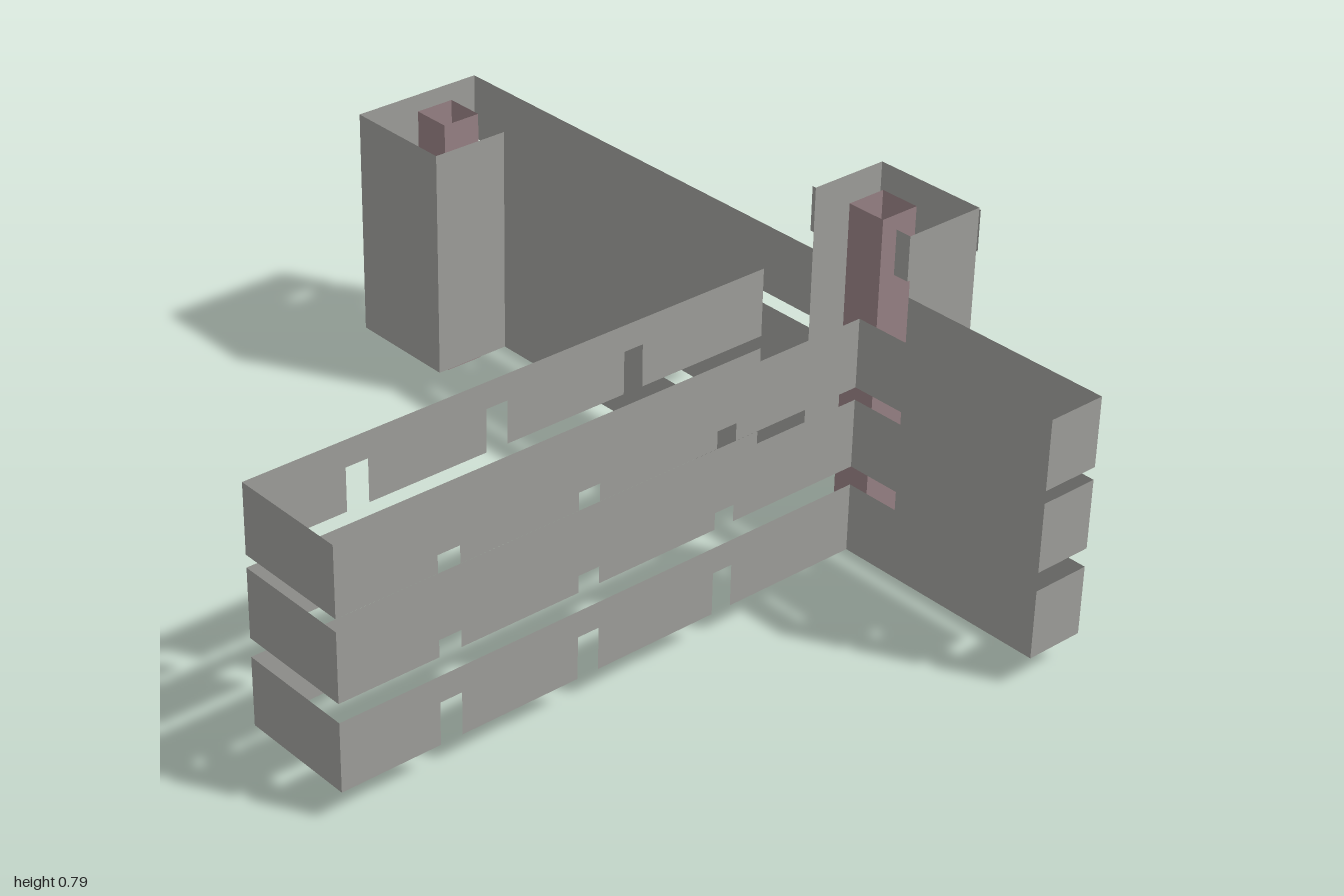
import * as THREE from 'three';

export function createModel() {
  const model = new THREE.Group();
  const grey = new THREE.MeshStandardMaterial({ color: 0x9f9f9b, side: THREE.DoubleSide });
  grey.name = 'weathered grey';
  const rose = new THREE.MeshStandardMaterial({ color: 0x988285, side: THREE.DoubleSide });
  rose.name = 'dusty rose';

  const add = (parent, name, geometry, material) => {
    const mesh = new THREE.Mesh(geometry, material);
    mesh.name = name;
    parent.add(mesh);
    return mesh;
  };

  // Upright sheet standing on the plan line from a to b, each [x, z]
  const sheet = (parent, name, a, b, y0, y1, material = grey) => {
    const dx = b[0] - a[0], dz = b[1] - a[1];
    const g = new THREE.PlaneGeometry(Math.hypot(dx, dz), y1 - y0);
    g.rotateY(Math.atan2(-dz, dx));
    g.translate((a[0] + b[0]) / 2, (y0 + y1) / 2, (a[1] + b[1]) / 2);
    return add(parent, name, g, material);
  };

  // Chain of upright sheets along a plan path
  const run = (parent, name, path, y0, y1, material) => {
    for (let i = 1; i < path.length; i++) sheet(parent, name, path[i - 1], path[i], y0, y1, material);
  };

  const left = -0.865, inner = 0.5, outer = 0.645;
  const back = 0.17, front = 0.46;
  const notches = [[-0.62, -0.565], [-0.265, -0.21], [0.105, 0.157]];

  // Long rail face with square notches cut up from its lower edge
  const notchedSheet = (parent, name, z, y0, y1) => {
    const s = new THREE.Shape();
    s.moveTo(left, y0);
    for (const [a, b] of notches) {
      s.lineTo(a, y0);
      s.lineTo(a, y0 + 0.102);
      s.lineTo(b, y0 + 0.102);
      s.lineTo(b, y0);
    }
    s.lineTo(inner, y0);
    s.lineTo(inner, y1);
    s.lineTo(left, y1);
    add(parent, name, new THREE.ShapeGeometry(s).translate(0, 0, z), grey);
  };

  // Three courses of hollow rails, open where the wings and posts meet
  [0.07, 0.28, 0.475].forEach((y0, i) => {
    const y1 = y0 + 0.165;
    const course = new THREE.Group();
    course.name = 'railCourse' + (i + 1);
    model.add(course);

    notchedSheet(course, 'sideWingFront', front, y0, y1);
    notchedSheet(course, 'sideWingBack', back, y0, y1);
    sheet(course, 'sideWingEnd', [left, back], [left, front], y0, y1);

    run(course, 'frontRail', [[inner, front], [inner, 1], [outer, 1], [outer, front]], y0, y1);
    sheet(course, 'rearRailInner', [inner, back], [inner, -0.71], y0, y1);
    sheet(course, 'rearRailEnd', [inner, -1], [outer, -1], y0, y1);
    if (i === 0) {
      // Open stub branching off the lowest course
      run(course, 'rearRailOuter', [[outer, back], [outer, -0.2]], y0, y1);
      run(course, 'rearRailOuter', [[outer, -0.375], [outer, -1]], y0, y1);
      for (const z of [-0.2, -0.375]) sheet(course, 'stubSide', [outer, z], [0.865, z], y0, y1);
    } else {
      sheet(course, 'rearRailOuter', [outer, back], [outer, -1], y0, y1);
    }
  });

  // Tall corner post, open toward the rails
  const post = new THREE.Group();
  post.name = 'tallPost';
  model.add(post);
  run(post, 'tallPostWall', [[outer, front], [0.845, front], [0.845, back], [outer, back]], 0.07, 0.787);
  // Small lips around the post top
  sheet(post, 'postLip', [0.638, front], [0.638, 0.42], 0.68, 0.787);
  sheet(post, 'postLip', [0.638, front], [outer, front], 0.68, 0.787);
  sheet(post, 'postLip', [0.85, front], [0.85, 0.38], 0.68, 0.78);
  sheet(post, 'postLip', [outer, back], [outer, 0.16], 0.68, 0.787);

  // Low rear post, open toward the rails
  run(model, 'rearPostWall', [[inner, -0.71], [0.3, -0.71], [0.3, -1], [inner, -1]], 0.07, 0.64);

  // Hollow square poles inside the two posts
  const pole = (name, x0, z0, top) =>
    run(model, name, [[x0, z0], [x0 + 0.1, z0], [x0 + 0.1, z0 + 0.1], [x0, z0 + 0.1], [x0, z0]], 0, top, rose);
  pole('tallPole', 0.648, 0.27, 0.787);
  pole('rearPole', 0.4, -0.905, 0.652);

  return model;
}
